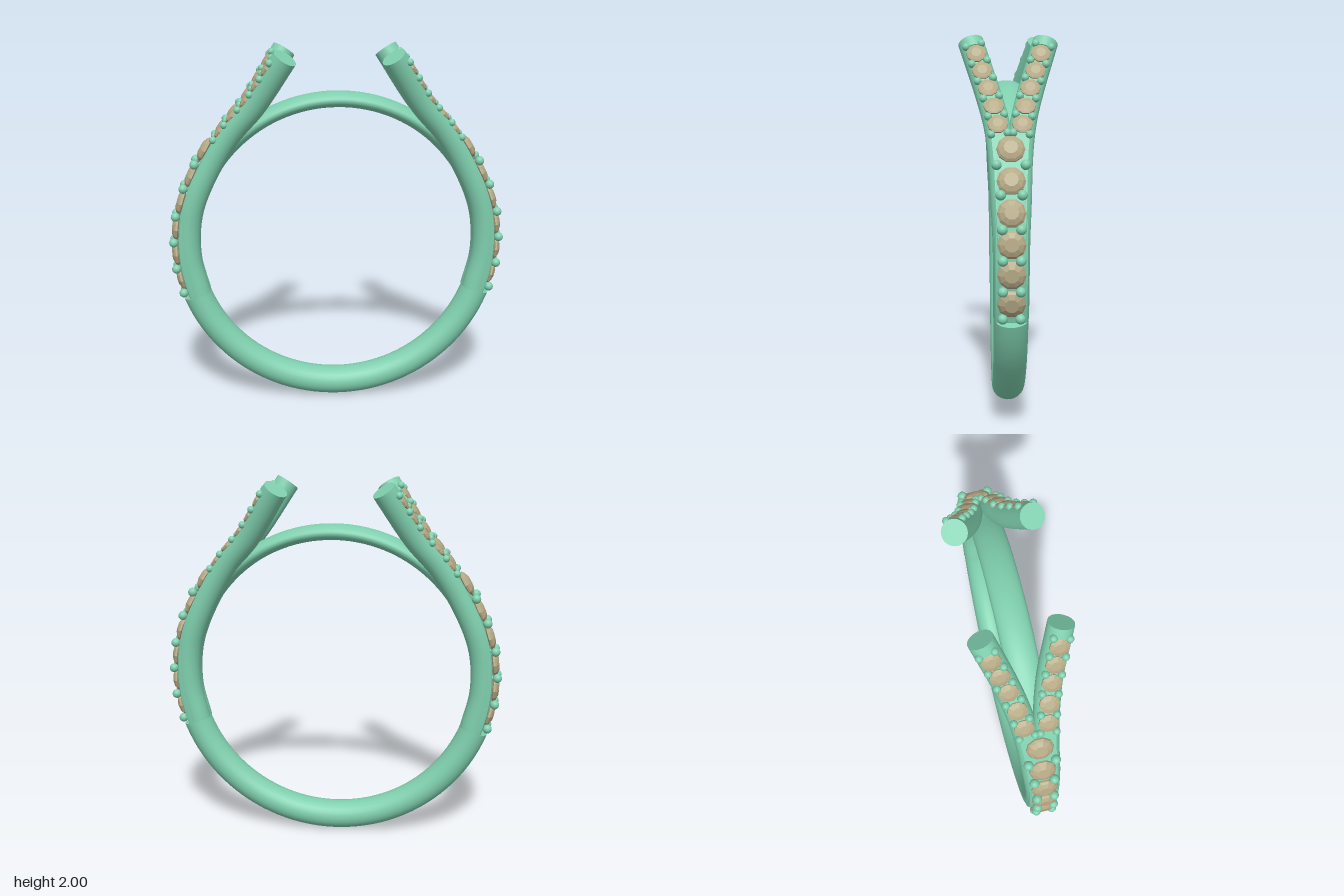
import * as THREE from 'three';
import { toCreasedNormals } from 'three/addons/utils/BufferGeometryUtils.js';

const V = (x, y, z) => new THREE.Vector3(x, y, z);
const metal = new THREE.MeshStandardMaterial({ color: 0x7fcfae });
const gem = new THREE.MeshStandardMaterial({ color: 0xb5a985, flatShading: true });
const CY = 0.915, INNER = 0.758, SEG = 28;
const CUT = -20 * Math.PI / 180; // elevation where the stone channel starts

// Skin a list of equal-sized rings, either as a closed loop or with end caps
function loft(rings, closed) {
  const n = rings[0].length, pos = [], idx = [];
  rings.flat().forEach(p => pos.push(p.x, p.y, p.z));
  const last = closed ? rings.length : rings.length - 1;
  for (let i = 0; i < last; i++) {
    const r0 = i * n, r1 = ((i + 1) % rings.length) * n;
    for (let j = 0; j < n; j++) {
      const k = (j + 1) % n;
      idx.push(r0 + j, r0 + k, r1 + j, r0 + k, r1 + k, r1 + j);
    }
  }
  if (!closed) {
    const end = (rings.length - 1) * n;
    for (let j = 1; j < n - 1; j++) {
      idx.push(0, j + 1, j);
      idx.push(end, end + j, end + j + 1);
    }
  }
  const g = new THREE.BufferGeometry();
  g.setAttribute('position', new THREE.Float32BufferAttribute(pos, 3));
  g.setIndex(idx);
  return toCreasedNormals(g, 0.5);
}

// Oval ring in the n/b plane, flattened where it exceeds `limit` along n
function section(c, n, b, rn, rb, limit) {
  return Array.from({ length: SEG }, (_, j) => {
    const a = j / SEG * Math.PI * 2;
    return c.clone().addScaledVector(n, Math.min(Math.cos(a) * rn, limit))
      .addScaledVector(b, Math.sin(a) * rb);
  });
}

function makeBand() {
  const angles = Array.from({ length: 120 }, (_, i) => i / 120 * Math.PI * 2);
  for (const s of [-0.001, 0.001]) angles.push(Math.PI * 2 + CUT + s, Math.PI - CUT + s);
  angles.sort((a, b) => a - b);
  const rings = angles.map(a => {
    const e = Math.asin(Math.sin(a));
    // full below, thinning into the bridge at the top
    const thick = THREE.MathUtils.lerp(0.157, 0.087, THREE.MathUtils.smoothstep(e, 0.5, 0.95));
    const n = V(Math.cos(a), Math.sin(a), 0), r = INNER + thick / 2;
    const c = n.clone().multiplyScalar(r).add(V(0, CY, 0));
    return section(c, n, V(0, 0, 1).negate().multiplyScalar(-1), thick / 2, 0.085,
      e > CUT ? 0.875 - r : 1);
  });
  // section runs n -> +z while the sweep runs anticlockwise, so reverse each ring
  rings.forEach(r => r.reverse());
  return loft(rings, true);
}

// Centre line of the +x, +z arm: along the band, then rising away from it
const onBand = (deg, z) => {
  const a = deg * Math.PI / 180;
  return V(0.825 * Math.cos(a), CY + 0.825 * Math.sin(a), z);
};
const armPath = new THREE.CatmullRomCurve3([
  onBand(-20, 0.022), onBand(-6, 0.022), onBand(8, 0.025), V(0.775, 1.19, 0.033),
  V(0.667, 1.41, 0.045), V(0.57, 1.555, 0.065), V(0.447, 1.7, 0.105), V(0.28, 1.96, 0.192)
]);

function frame(u) {
  const p = armPath.getPointAt(u), t = armPath.getTangentAt(u);
  const n = V(t.y, -t.x, 0).normalize();
  return { p, n, t, b: t.clone().cross(n) };
}

// Frame whose outer surface lies at height y
function frameAtHeight(y) {
  for (let u = 0; u < 1; u += 0.001) {
    const f = frame(u);
    if (f.p.y + f.n.y * 0.06 >= y) return f;
  }
  return frame(1);
}

function makeArm(side) {
  const us = Array.from({ length: 61 }, (_, i) => i / 60);
  us.push(0.962, 0.963);
  us.sort((a, b) => a - b);
  const rings = us.map(u => {
    const { p, n, b } = frame(u);
    return section(p, n, b, 0.066, 0.066, u < 0.9625 ? 0.052 : 1);
  });
  if (side < 0) rings.forEach(r => { r.forEach(p => { p.z *= -1; }); r.reverse(); });
  return loft(rings, false);
}

// Faceted stone: table, crown, girdle and pavilion
function stoneGeometry(r, h) {
  const pts = [[0, -r * 0.4], [r, -0.006], [r, 0.004], [r * 0.85, h * 0.55], [r * 0.5, h], [0, h]];
  return new THREE.LatheGeometry(pts.map(p => new THREE.Vector2(...p)), 10);
}
const bigStone = stoneGeometry(0.07, 0.026), smallStone = stoneGeometry(0.051, 0.014);
const bigBead = new THREE.SphereGeometry(0.025, 16, 12);
const smallBead = new THREE.SphereGeometry(0.02, 14, 10);

function makeShoulder() {
  const g = new THREE.Group();
  const add = (name, geo, mat, pos, normal) => {
    const m = new THREE.Mesh(geo, mat);
    m.name = name;
    m.position.copy(pos);
    if (normal) m.quaternion.setFromUnitVectors(V(0, 1, 0), normal);
    g.add(m);
  };

  // large stones along the side of the band
  for (let i = 0; i < 6; i++) {
    const { p, n } = frameAtHeight(0.72 + i * 0.1455);
    p.z = 0;
    add('largeStone', bigStone, gem, p.addScaledVector(n, 0.064), n);
  }
  // bead pairs between the large stones: height, half spacing
  for (const [y, z] of [[0.648, 0.043], [0.787, 0.043], [0.935, 0.043],
    [1.08, 0.045], [1.235, 0.052], [1.37, 0.07]]) {
    const { p, n } = frameAtHeight(y);
    for (const s of [-1, 1]) {
      add('largeBead', bigBead, metal, V(p.x, p.y, s * z).addScaledVector(n, 0.078));
    }
  }

  // two diverging arms with small stones and beads
  for (const s of [-1, 1]) {
    add(s > 0 ? 'frontArm' : 'backArm', makeArm(s), metal, V(0, 0, 0));
    const flip = v => V(v.x, v.y, v.z * s);
    for (let i = 0; i < 5; i++) {
      const { p, n } = frameAtHeight(1.567 + i * 0.085);
      add('smallStone', smallStone, gem, flip(p.addScaledVector(n, 0.055)), n);
    }
    for (let i = 0; i < 6; i++) {
      const { p, n, b } = frameAtHeight(1.522 + i * 0.085);
      for (const k of [-1, 1]) {
        add('smallBead', smallBead, metal,
          flip(p.clone().addScaledVector(n, 0.056).addScaledVector(b, k * 0.04)));
      }
    }
  }
  return g;
}

export function createModel() {
  const model = new THREE.Group();
  model.name = 'ring';
  const band = new THREE.Mesh(makeBand(), metal);
  band.name = 'band';
  model.add(band);
  const left = makeShoulder();
  left.name = 'leftShoulder';
  const right = makeShoulder();
  right.name = 'rightShoulder';
  right.rotation.y = Math.PI;
  model.add(left, right);
  return model;
}
